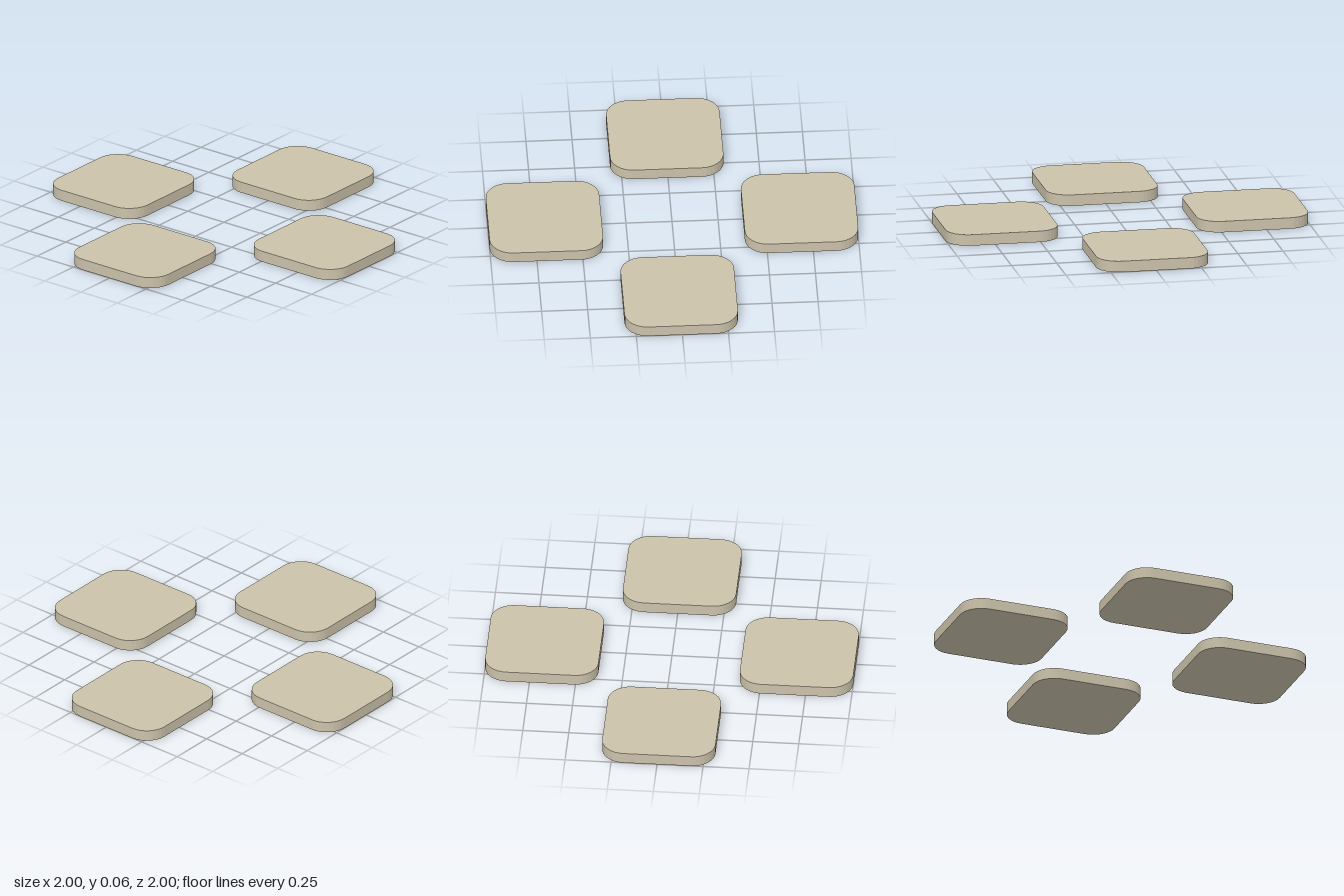
import * as THREE from 'three';

const HALF = 0.3077, RADIUS = 0.123, HEIGHT = 0.0615, OFFSET = 1 - HALF;

// Square with rounded corners, centred on the origin
function roundedSquare(h, r) {
  const shape = new THREE.Shape();
  const c = h - r;
  shape.moveTo(c, -h);
  shape.absarc(c, -c, r, -Math.PI / 2, 0);
  shape.absarc(c, c, r, 0, Math.PI / 2);
  shape.absarc(-c, c, r, Math.PI / 2, Math.PI);
  shape.absarc(-c, -c, r, Math.PI, Math.PI * 1.5);
  return shape;
}

export function createModel() {
  const group = new THREE.Group();
  group.name = 'padSet';
  const material = new THREE.MeshStandardMaterial({ color: 0xcbc2aa, flatShading: true });

  // Flat pad lying on the ground, four facets per corner
  const geometry = new THREE.ExtrudeGeometry(roundedSquare(HALF, RADIUS), {
    depth: HEIGHT, bevelEnabled: false, curveSegments: 4,
  });
  geometry.rotateX(-Math.PI / 2);

  // Four pads in a cross
  const pads = [['leftPad', 1, 0], ['rightPad', -1, 0], ['frontPad', 0, 1], ['backPad', 0, -1]];
  for (const [name, x, z] of pads) {
    const pad = new THREE.Mesh(geometry, material);
    pad.name = name;
    pad.position.set(x * OFFSET, 0, z * OFFSET);
    group.add(pad);
  }
  return group;
}
